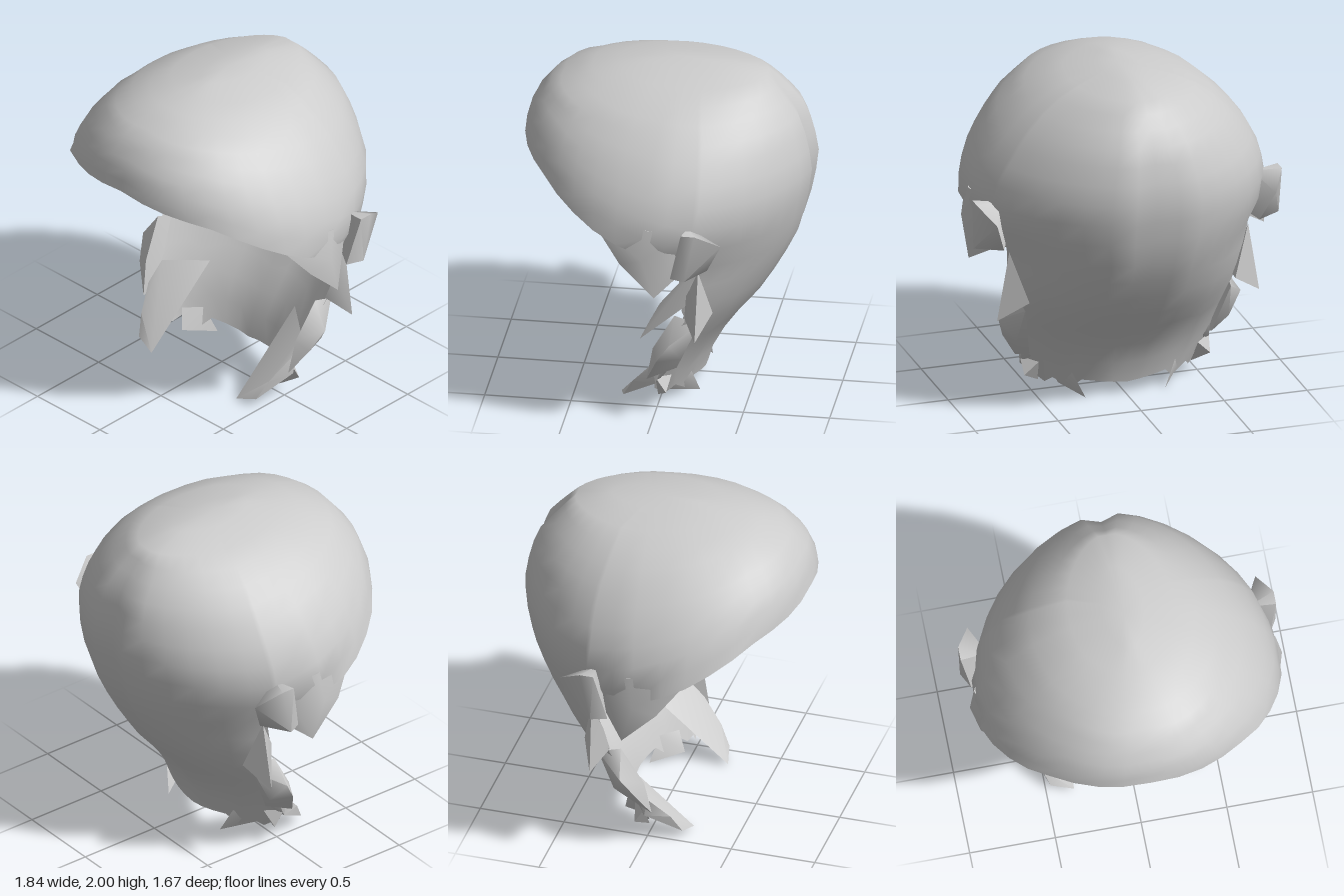
import * as THREE from 'three';
import { mergeVertices, toCreasedNormals } from 'three/addons/utils/BufferGeometryUtils.js';
import { ConvexGeometry } from 'three/addons/geometries/ConvexGeometry.js';

// horizontal sections of the hair cap: y, half width, back z, front z, centre z
const RINGS = [
  [2.0, 0, -0.05, -0.05, -0.05],
  [1.99, 0.07, -0.28, 0.16, -0.05],
  [1.95, 0.29, -0.56, 0.43, -0.05],
  [1.85, 0.5, -0.66, 0.67, -0.03],
  [1.7, 0.665, -0.785, 0.79, -0.01],
  [1.56, 0.77, -0.83, 0.83, 0],
  [1.4, 0.855, -0.855, 0.82, 0.02],
  [1.2, 0.89, -0.83, 0.80, 0.03],
  [1.0, 0.79, -0.77, 0.78, 0.03],
  [0.8, 0.77, -0.67, 0.7, 0.04],
  [0.6, 0.70, -0.54, 0.6, 0.015],
  [0.4, 0.68, -0.37, 0.5, 0.155],
  [0.2, 0.61, -0.26, 0.4, 0.175],
  [0.0, 0.46, -0.20, 0.3, 0.10],
];

// hem around the fringe and ears: angle from the front in degrees, y
const HEM = [
  [0, 1.557], [30, 1.49], [40, 1.46], [50, 1.4], [60, 1.33], [70, 1.26],
  [80, 1.2], [90, 1.12], [104, 1.05], [112, 1.0], [180, 1.0],
];
// hem at the nape, below the neck opening
const NAPE_EDGE = 112;
const NAPE = [[112, 0.12], [120, 0.06], [130, 0.1], [140, 0.04], [150, 0.1], [170, 0.08], [180, 0.07]];

// linear lookup in a table whose first column is the key
function lookup(table, key, col) {
  const dir = Math.sign(table[1][0] - table[0][0]);
  for (let i = 1; i < table.length; i++) {
    const p = table[i - 1], q = table[i];
    if ((q[0] - key) * dir >= 0) return p[col] + (q[col] - p[col]) * (key - p[0]) / (q[0] - p[0]);
  }
  return table[table.length - 1][col];
}

// oval section, squarer at the front, leaner at the back, with a groove down the back
function capPoint(deg, y) {
  const [a, back, front, mid] = [1, 2, 3, 4].map((c) => lookup(RINGS, y, c));
  const power = Math.abs(deg) <= 90 ? 0.9 : 1.08;
  const bend = (v) => Math.sign(v) * Math.abs(v) ** power;
  const phi = THREE.MathUtils.degToRad(deg);
  const c = bend(Math.cos(phi));
  const atBack = Math.abs(deg) === 180;
  const groove = atBack ? 0.05 * Math.min(1, (2 - y) * 3) * Math.min(1, y) : 0;
  const x = atBack ? 0 : a * bend(Math.sin(phi));
  return [x, y, mid + c * (c > 0 ? front - mid : mid - back) + groove];
}

// open shell: crown down to the hem, then the neck part behind the opening
function capGeometry() {
  const half = [];
  for (let d = 0; d <= 180; d += 10) {
    half.push(d);
    if (d === 110) half.push(NAPE_EDGE);
  }
  const columns = [...half, ...half.slice(0, -1).reverse().map((d) => -d)];
  const UPPER = 11, LOWER = 7, n = columns.length, pos = [], index = [];
  for (let i = 0; i <= UPPER + LOWER; i++) {
    for (const d of columns) {
      const hem = lookup(HEM, Math.abs(d), 1);
      const y = i <= UPPER
        ? 2 - (2 - hem) * (i / UPPER) ** 1.6
        : hem + (lookup(NAPE, Math.abs(d), 1) - hem) * (i - UPPER) / LOWER;
      pos.push(...capPoint(d, y));
    }
  }
  for (let i = 0; i < UPPER + LOWER; i++) {
    for (let j = 0; j < n - 1; j++) {
      if (i >= UPPER && Math.min(Math.abs(columns[j]), Math.abs(columns[j + 1])) < NAPE_EDGE) continue;
      const a = i * n + j, b = a + n;
      if (i > 0) index.push(a, b, a + 1);
      index.push(a + 1, b, b + 1);
    }
  }
  const g = new THREE.BufferGeometry();
  g.setAttribute('position', new THREE.Float32BufferAttribute(pos, 3));
  g.setIndex(index);
  const merged = mergeVertices(g, 1e-5);
  merged.computeVertexNormals();
  return merged;
}

// locks on the model's left side, each the hull of a few corners
const LOCKS = {
  SideburnFlap: [
    [0.88, 1.3, 0], [0.84, 1.2, 0.16], [0.87, 1.07, 0.16], [0.91, 1.12, 0.03], [0.76, 1.32, 0.36],
    [0.75, 1.2, 0.14], [0.89, 0.88, -0.04], [0.82, 1.0, -0.1], [0.74, 1.0, -0.2], [0.8, 1.25, -0.2],
  ],
  EarTuft: [
    [0.76, 1.28, -0.22], [0.92, 1.3, -0.2], [0.92, 1.3, -0.28], [0.84, 1.21, -0.42],
    [0.77, 1.02, -0.33], [0.92, 1.01, -0.22], [0.87, 1.0, -0.13], [0.72, 1.04, -0.22],
  ],
  NeckSpike: [
    [0.72, 0.98, -0.27], [0.71, 0.82, -0.2], [0.79, 0.56, -0.26], [0.65, 0.65, -0.18], [0.62, 0.68, -0.34],
  ],
  CheekLock: [
    [0.63, 0.65, -0.12], [0.73, 0.5, -0.1], [0.68, 0.37, -0.02], [0.58, 0.21, 0.05],
    [0.6, 0.42, 0.01], [0.55, 0.28, -0.12], [0.62, 0.6, -0.26], [0.64, 0.38, -0.16],
  ],
  JawLock: [
    [0.34, 0.42, -0.25], [0.34, 0.01, 0.23], [0.47, 0.05, 0.2], [0.51, 0.16, 0.14],
    [0.57, 0.29, 0.02], [0.57, 0.18, 0], [0.42, 0.1, 0.1], [0.56, 0.4, -0.08],
  ],
  NapeTip: [
    [0.4, 0.15, -0.08], [0.24, 0.0, -0.21], [0.35, 0.04, -0.03], [0.31, 0.15, -0.17],
  ],
  JawTip: [
    [0.57, 0.22, 0], [0.56, 0.12, -0.06], [0.46, 0.06, 0], [0.48, 0.2, -0.08],
  ],
};

export function createModel() {
  const group = new THREE.Group();
  const material = new THREE.MeshStandardMaterial({ color: 0xcccccc, side: THREE.DoubleSide });
  const add = (name, geometry) => {
    const mesh = new THREE.Mesh(geometry, material);
    mesh.name = name;
    group.add(mesh);
  };

  add('hairCap', capGeometry());

  for (const [name, corners] of Object.entries(LOCKS)) {
    for (const side of [1, -1]) {
      const hull = new ConvexGeometry(corners.map(([x, y, z]) => new THREE.Vector3(side * x, y, z)));
      add((side > 0 ? 'left' : 'right') + name, toCreasedNormals(hull, 1.2));
    }
  }
  return group;
}
